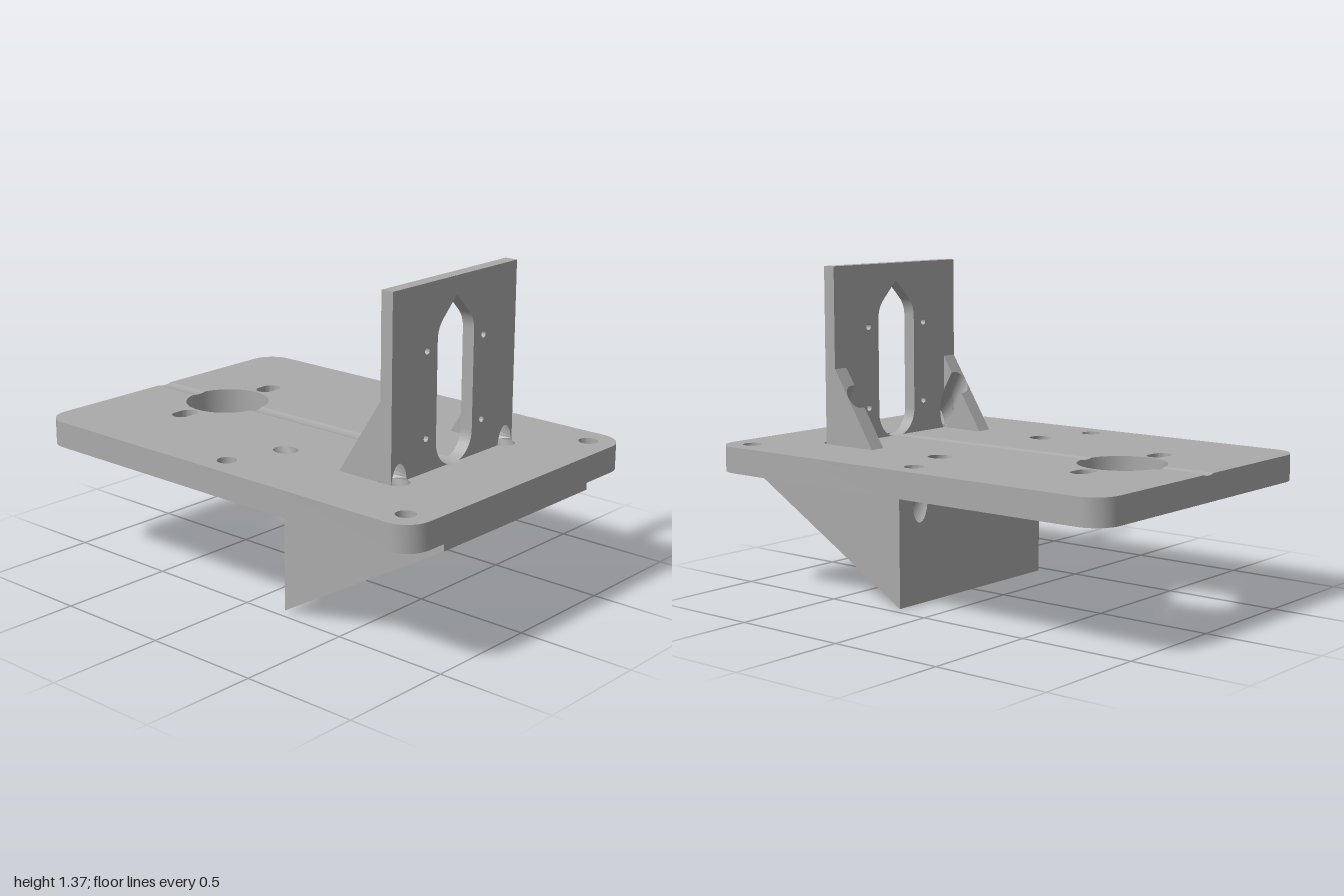
import * as THREE from 'three';
import { toCreasedNormals } from 'three/addons/utils/BufferGeometryUtils.js';

const V2 = (a, b) => new THREE.Vector2(a, b);
const V3 = (x, y, z) => new THREE.Vector3(x, y, z);
const PI = Math.PI;

const TOP = 0.62, UNDER = 0.51;              // plate faces
const WALL_IN = 0.595, WALL_OUT = 0.65;      // upright wall faces
const W0 = 0.17, W1 = 0.97, WZ = 0.455;      // wedge extents
const RISE = Math.tan(PI / 6.0);             // wedge slope
const slopeY = x => (x - W0) * RISE;
const BORE = 0.046, PILOT = 0.022, BORE_Z = 0.33;
const C30 = Math.cos(PI / 6), S30 = 0.5;     // bores run square to the slope
const BORE_X = [0.06, 0.64];                 // bore centres on the plate top
const boreY = (xc, x) => TOP - (x - xc) * C30 / S30;
const SLOT_R = 0.112, SLOT_LOW = 0.7264, SLOT_HIGH = 1.132;
const GH = Math.sqrt(SLOT_R ** 2 - (SLOT_LOW - TOP) ** 2);  // groove half width
const BIG_X = -0.6, BIG_R = 0.179;

// points along an elliptical arc
function arc(cx, cy, rx, ry, a0, a1, n = 16) {
  return Array.from({ length: n + 1 }, (_, i) => {
    const a = a0 + (a1 - a0) * i / n;
    return V2(cx + rx * Math.cos(a), cy + ry * Math.sin(a));
  });
}
const ring = (cx, cy, rx, ry = rx, n = 32) => arc(cx, cy, rx, ry, 0, 2 * PI, n).slice(0, -1);

// quad strips joining loops of equal length
function loft(loops, closed = true) {
  const pos = [], n = loops[0].length;
  for (let i = 0; i < loops.length - 1; i++) {
    for (let j = 0; j < (closed ? n : n - 1); j++) {
      const k = (j + 1) % n;
      const a = loops[i][j], b = loops[i][k], c = loops[i + 1][k], d = loops[i + 1][j];
      for (const p of [a, b, c, a, c, d]) pos.push(p.x, p.y, p.z);
    }
  }
  const g = new THREE.BufferGeometry();
  g.setAttribute('position', new THREE.Float32BufferAttribute(pos, 3));
  return toCreasedNormals(g, 0.6);
}

// flat face from an outline with holes, placed in space by a mapping
function face(outline, holes, map) {
  const s = new THREE.Shape(outline);
  s.holes = holes.map(h => new THREE.Path(h));
  const g = new THREE.ShapeGeometry(s).toNonIndexed();
  const p = g.attributes.position;
  for (let i = 0; i < p.count; i++) p.setXYZ(i, ...map(p.getX(i), p.getY(i)).toArray());
  g.computeVertexNormals();
  return g;
}

export function createModel() {
  const grey = new THREE.MeshStandardMaterial({ color: 0xaaaaaa, side: THREE.DoubleSide });
  grey.name = 'grey';
  const model = new THREE.Group();
  model.name = 'angledMount';
  const part = name => {
    const g = new THREE.Group();
    g.name = name;
    model.add(g);
    return (geo, label) => {
      const m = new THREE.Mesh(geo, grey);
      m.name = label;
      g.add(m);
    };
  };

  // ---- base plate: rounded corners, vertical holes, slanted bores, shallow groove
  const plate = part('basePlate');
  const topY = z => Math.abs(z) < GH ? SLOT_LOW - Math.sqrt(SLOT_R ** 2 - z * z) : TOP;
  const c = 0.11, cx = 1 - c, cz = 0.687 - c;
  const outer = [
    V2(-1, GH),
    ...arc(-cx, cz, c, c, PI, PI / 2, 10), ...arc(cx, cz, c, c, PI / 2, 0, 10),
    ...arc(cx, -cz, c, c, 0, -PI / 2, 10), ...arc(-cx, -cz, c, c, -PI / 2, -PI, 10),
    V2(-1, -GH),
  ];
  const straight = [];
  for (const s of [-1, 1]) {
    for (const x of [-0.022, 0.888]) straight.push(ring(x, s * 0.577, 0.04));
    straight.push([...arc(BIG_X, s * 0.255 + 0.019, 0.04, 0.04, 0, PI),
      ...arc(BIG_X, s * 0.255 - 0.019, 0.04, 0.04, PI, 2 * PI)]);
  }
  const bores = y => BORE_X.flatMap(x => [-1, 1].map(s =>
    ring(x + (TOP - y) * RISE, s * BORE_Z, BORE / C30, BORE)));
  const big = ring(BIG_X, 0, BIG_R, BIG_R, 96);
  const b = Math.asin(GH / BIG_R), grooveEnd = 0.66;
  const topOutline = [
    ...outer, ...arc(BIG_X, 0, BIG_R, BIG_R, b - PI, -b, 46),
    V2(grooveEnd, -GH), V2(grooveEnd, GH), ...arc(BIG_X, 0, BIG_R, BIG_R, b, PI - b, 46),
  ];
  plate(face(topOutline, [...straight, ...bores(TOP)], (x, z) => V3(x, TOP, z)), 'plateTop');
  plate(face(outer, [big, ...straight, ...bores(UNDER)], (x, z) => V3(x, UNDER, z)), 'plateUnderside');
  const zs = Array.from({ length: 11 }, (_, i) => GH * (i / 5 - 1));
  const at = (pts, y) => pts.map(p => V3(p.x, y ?? topY(p.y), p.y));
  const rim = [...outer, ...zs.slice(1, -1).map(z => V2(-1, z))];
  plate(loft([at(rim), at(rim, UNDER)]), 'plateRim');
  plate(loft([at(big), at(big, UNDER)]), 'largeHole');
  straight.forEach(h => plate(loft([at(h, TOP), at(h, UNDER)]), 'plateHole'));
  const lowBores = bores(UNDER);
  bores(TOP).forEach((h, i) => plate(loft([at(h, TOP), at(lowBores[i], UNDER)]), 'slantedBore'));
  const edge = z => Math.sqrt(BIG_R ** 2 - z * z);
  plate(loft(zs.map(z => [V3(-1, topY(z), z), V3(BIG_X - edge(z), topY(z), z)]), false), 'grooveOuter');
  plate(loft(zs.map(z => [V3(BIG_X + edge(z), topY(z), z), V3(grooveEnd, topY(z), z),
    V3(grooveEnd, TOP, z)]), false), 'grooveInner');

  // ---- upright wall with a pointed slot, screw holes and bore clearance at the foot
  const wall = part('uprightWall');
  const WH = 0.378, WT = 1.365, g0 = Math.asin(GH / SLOT_R);
  const wallOutline = x => {
    const ye = boreY(BORE_X[1], x), ry = BORE / S30;
    const t = Math.asin((TOP - ye) / ry);
    const notch = z => arc(z, ye, BORE, ry, PI - t, t, 24);
    return [
      V2(-WH, TOP), ...notch(-BORE_Z),
      ...arc(0, SLOT_LOW, SLOT_R, SLOT_R, -PI / 2 - g0, -PI),
      ...arc(0, SLOT_HIGH, SLOT_R, SLOT_R, PI, 0.75 * PI, 8),
      V2(0, SLOT_HIGH + SLOT_R * Math.SQRT2),
      ...arc(0, SLOT_HIGH, SLOT_R, SLOT_R, PI / 4, 0, 8),
      ...arc(0, SLOT_LOW, SLOT_R, SLOT_R, 0, -PI / 2 + g0),
      ...notch(BORE_Z), V2(WH, TOP), V2(WH, WT), V2(-WH, WT),
    ];
  };
  const screws = [-0.173, 0.173].flatMap(z => [0.757, 1.102].map(y => ring(z, y, 0.014, 0.014, 20)));
  const onX = (pts, x) => pts.map(p => V3(x, p.y, p.x));
  for (const x of [WALL_IN, WALL_OUT])
    wall(face(wallOutline(x), screws, (z, y) => V3(x, y, z)), 'wallFace');
  wall(loft([onX(wallOutline(WALL_IN), WALL_IN), onX(wallOutline(WALL_OUT), WALL_OUT)]), 'wallEdges');
  screws.forEach(h => wall(loft([onX(h, WALL_IN), onX(h, WALL_OUT)]), 'screwHole'));

  // ---- gussets, cut by the bore; sections step across the bore direction
  const gusset = part('gussets');
  const GX = 0.39, GY = 0.94, k = (GY - TOP) / (WALL_IN - GX);
  const across = (x, y) => x * C30 + y * S30;
  const uA = across(GX, TOP), uC = across(WALL_IN, TOP), uB = across(WALL_IN, GY);
  const uBore = across(BORE_X[1], TOP);
  const low = u => u < uC ? V2((u - TOP * S30) / C30, TOP) : V2(WALL_IN, (u - WALL_IN * C30) / S30);
  const high = u => {
    const x = (u - S30 * (TOP - k * GX)) / (C30 + S30 * k);
    return V2(x, TOP + k * (x - GX));
  };
  const stations = [[uA, 0.31], [uBore - BORE, 0.31],
    ...arc(uBore, BORE_Z, BORE, BORE, PI, 0, 24).map(p => [p.x, p.y]),
    [uBore + BORE, 0.31], [uB, 0.31]];
  for (const s of [-1, 1]) {
    gusset(loft(stations.map(([u, z]) => {
      const l = low(u), h = high(u);
      return [V3(l.x, l.y, s * z), V3(h.x, h.y, s * z), V3(h.x, h.y, s * WH), V3(l.x, l.y, s * WH)];
    })), s > 0 ? 'leftGusset' : 'rightGusset');
  }

  // ---- wedge under the plate
  const wedge = part('wedge');
  const ye = boreY(BORE_X[0], W0), t = Math.asin((UNDER - ye) * S30 / BORE);
  const cut = z => arc(z, ye, BORE, BORE / S30, t, -PI - t, 28);
  wedge(face([V2(-WZ, 0), V2(WZ, 0), V2(WZ, UNDER), ...cut(BORE_Z), ...cut(-BORE_Z), V2(-WZ, UNDER)],
    [], (z, y) => V3(W0, y, z)), 'wedgeBackFace');
  const exits = BORE_X.map(x => (TOP + x * C30 / S30 + W0 * RISE) / (RISE + C30 / S30));
  const pilots = exits.flatMap(x => [-1, 1].map(s => ring(x, s * BORE_Z, PILOT * C30, PILOT)));
  wedge(face([V2(W0, -WZ), V2(W1, -WZ), V2(W1, WZ), V2(W0, WZ)], pilots,
    (x, z) => V3(x, slopeY(x), z)), 'wedgeSlope');
  const side = [V2(W0, 0), V2(W1, slopeY(W1)), V2(W1, UNDER), V2(W0, UNDER)];
  for (const s of [-1, 1]) wedge(face(side, [], (x, y) => V3(x, y, s * WZ)), 'wedgeSide');
  wedge(face([V2(-WZ, slopeY(W1)), V2(WZ, slopeY(W1)), V2(WZ, UNDER), V2(-WZ, UNDER)], [],
    (z, y) => V3(W1, y, z)), 'wedgeTip');

  // stepped bores inside the wedge: pilot hole, seat, wide bore
  for (const x of exits) for (const s of [-1, 1]) {
    const circle = (r, d) => ring(0, 0, r).map(p => {
      const px = x + p.x * C30, py = slopeY(x) + p.x * S30;
      const len = d ?? Math.min((UNDER - py) / C30, (px - W0) / S30);
      return V3(px - len * S30, py + len * C30, s * BORE_Z + p.y);
    });
    wedge(loft([circle(PILOT, 0), circle(PILOT, 0.1), circle(BORE, 0.1), circle(BORE)]), 'steppedBore');
  }
  return model;
}
